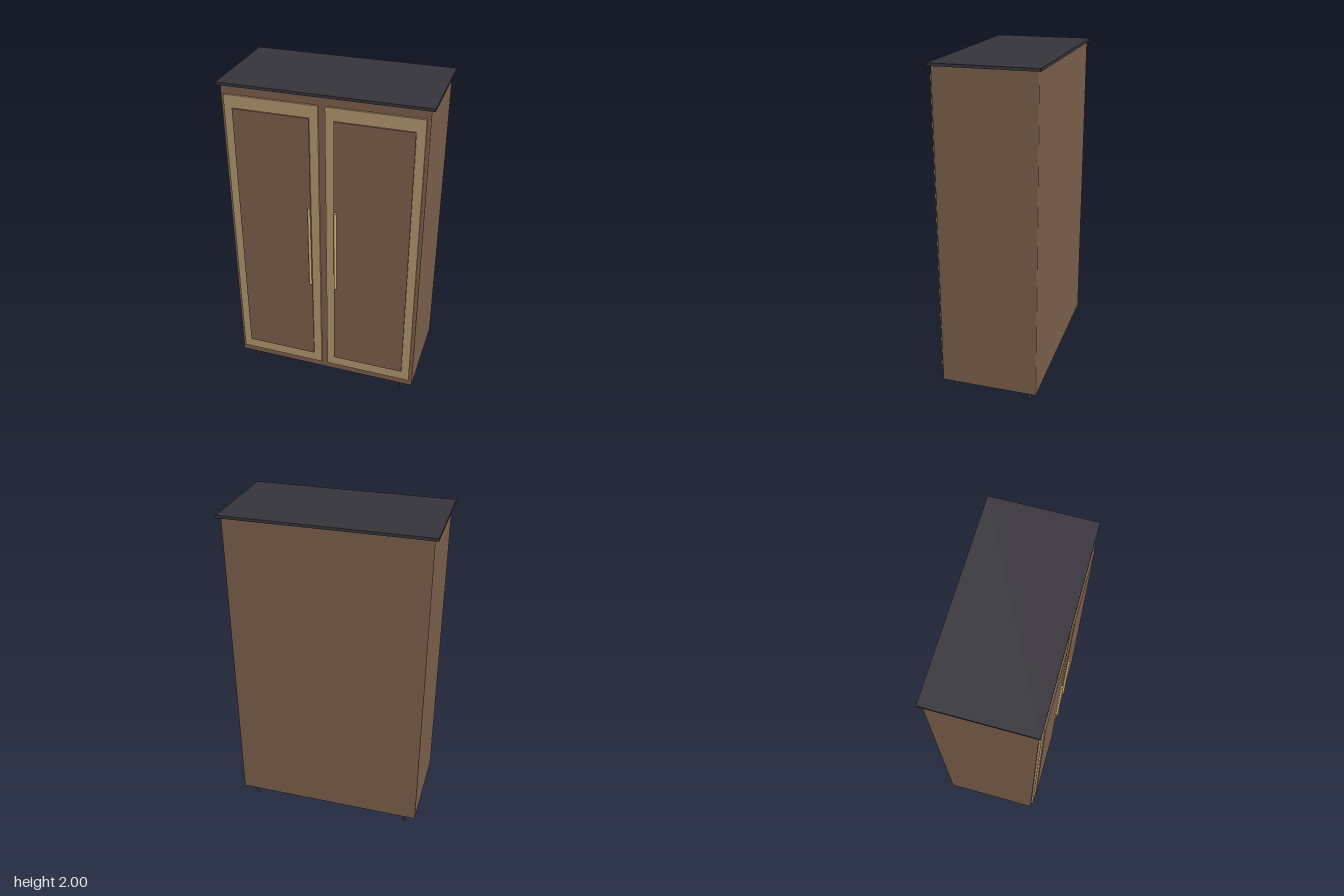
import * as THREE from 'three';
import { RoundedBoxGeometry } from 'three/addons/geometries/RoundedBoxGeometry.js';

function material(name, color) {
  const m = new THREE.MeshStandardMaterial({ color });
  m.name = name;
  return m;
}

export function createModel() {
  const group = new THREE.Group();
  const wood = material('brown wood', 0x7a5e4a);
  const trim = material('light wood', 0xb0966f);
  const dark = material('charcoal', 0x36343b);
  const brass = material('brass', 0xc9ae72);

  function add(parent, name, geometry, mat, x, y, z) {
    const mesh = new THREE.Mesh(geometry, mat);
    mesh.name = name;
    mesh.position.set(x, y, z);
    parent.add(mesh);
    return mesh;
  }

  // Cabinet body and overhanging top
  add(group, 'body', new RoundedBoxGeometry(1.17, 1.905, 0.586, 3, 0.006), wood, 0, 1.0325, -0.01);
  add(group, 'topBoard', new THREE.BoxGeometry(1.21, 0.016, 0.611), dark, 0, 1.992, -0.0105);

  // Door frame: rectangle with an opening
  const frameShape = new THREE.Shape();
  frameShape.moveTo(-0.2725, -0.9025).lineTo(0.2725, -0.9025).lineTo(0.2725, 0.9025).lineTo(-0.2725, 0.9025).closePath();
  const opening = new THREE.Path();
  opening.moveTo(-0.222, -0.828).lineTo(-0.222, 0.828).lineTo(0.222, 0.828).lineTo(0.222, -0.828).closePath();
  frameShape.holes.push(opening);
  const frameGeo = new THREE.ExtrudeGeometry(frameShape, { depth: 0.014, bevelEnabled: false });
  const panelGeo = new THREE.BoxGeometry(0.446, 1.66, 0.022);
  const handleGeo = new THREE.CylinderGeometry(0.008, 0.008, 0.535, 16);
  const legGeo = new THREE.CylinderGeometry(0.018, 0.011, 0.085, 16);

  for (const side of [-1, 1]) {
    const door = new THREE.Group();
    door.name = side > 0 ? 'leftDoor' : 'rightDoor';
    group.add(door);
    add(door, 'doorFrame', frameGeo, trim, side * 0.2925, 1.0325, 0.28);
    add(door, 'doorPanel', panelGeo, wood, side * 0.2925, 1.03, 0.291);
    add(door, 'doorHandle', handleGeo, brass, side * 0.079, 1.0325, 0.308);

    // Tapered feet
    for (const z of [0.226, -0.244]) add(group, 'leg', legGeo, dark, side * 0.508, 0.0425, z);
  }
  return group;
}
